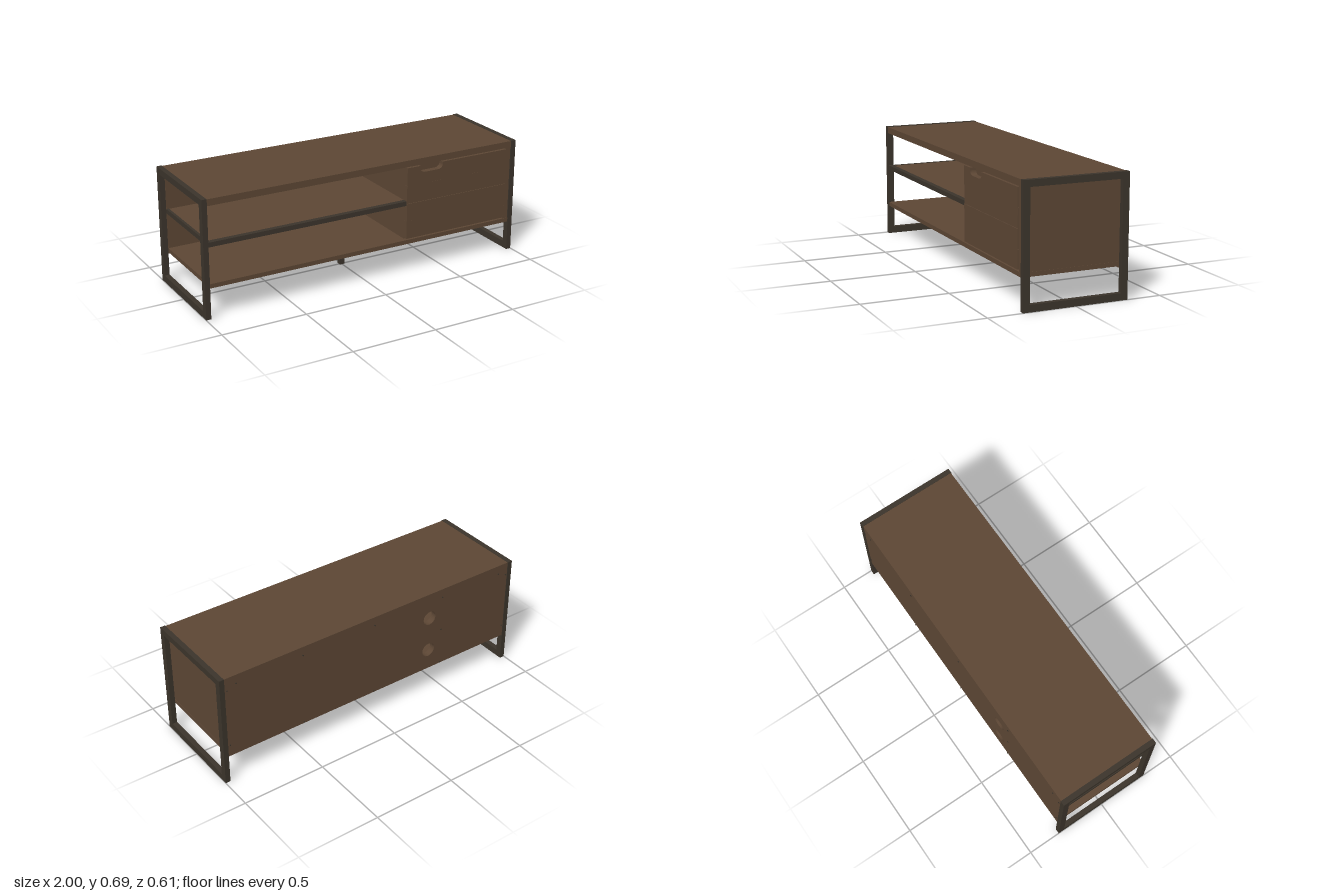
import * as THREE from 'three';

export function createModel() {
  const model = new THREE.Group();
  model.name = 'mediaCabinet';
  const wood = new THREE.MeshStandardMaterial({ color: 0x5c4634 });
  wood.name = 'brown wood';
  const metal = new THREE.MeshStandardMaterial({ color: 0x3b342b });
  metal.name = 'dark metal';

  const add = (name, geometry, material) => {
    const mesh = new THREE.Mesh(geometry, material);
    mesh.name = name;
    model.add(mesh);
    return mesh;
  };
  // Box given by its limits on each axis
  const box = (name, material, x0, x1, y0, y1, z0, z1) => {
    const mesh = add(name, new THREE.BoxGeometry(x1 - x0, y1 - y0, z1 - z0), material);
    mesh.position.set((x0 + x1) / 2, (y0 + y1) / 2, (z0 + z1) / 2);
    return mesh;
  };
  const rect = (path, x0, x1, y0, y1) =>
    path.moveTo(x0, y0).lineTo(x1, y0).lineTo(x1, y1).lineTo(x0, y1).closePath();
  const extrude = (shape, depth) =>
    new THREE.ExtrudeGeometry(shape, { depth, bevelEnabled: false, curveSegments: 16 });

  // Rectangular loop frames at both ends
  for (const side of [-1, 1]) {
    const shape = new THREE.Shape();
    rect(shape, -0.303, 0.303, 0, 0.685);
    const hole = new THREE.Path();
    rect(hole, -0.266, 0.266, 0.04, 0.648);
    shape.holes.push(hole);
    const geometry = extrude(shape, 0.03).translate(0, 0, -0.015).rotateY(Math.PI / 2);
    add(side < 0 ? 'rightEndFrame' : 'leftEndFrame', geometry, metal).position.x = side * 0.985;
  }

  // Centre leg
  box('centreLeg', metal, -0.015, 0.015, 0, 0.178, -0.017, 0.011);

  // Carcass boards
  box('topBoard', wood, -0.97, 0.97, 0.645, 0.683, -0.3, 0.3);
  box('bottomBoard', wood, -0.97, 0.97, 0.178, 0.203, -0.264, 0.3);
  box('endPanel', wood, 0.937, 0.968, 0.203, 0.645, -0.264, 0.298);
  box('partition', wood, 0.257, 0.287, 0.203, 0.645, -0.264, 0.27);

  // Back panel with two cable holes
  const back = new THREE.Shape();
  rect(back, -0.97, 0.97, 0.17, 0.645);
  for (const y of [0.3, 0.52]) {
    const hole = new THREE.Path();
    hole.absarc(-0.393, y, 0.043, 0, Math.PI * 2, true);
    back.holes.push(hole);
  }
  add('backPanel', extrude(back, 0.036), wood).position.z = -0.3;

  // Middle shelf held in a dark metal edge
  box('shelfBoard', wood, -0.955, 0.257, 0.417, 0.438, -0.264, 0.27);
  box('shelfFrontBar', metal, -0.97, 0.255, 0.413, 0.44, 0.27, 0.299);
  box('shelfEndBar', metal, -0.97, -0.955, 0.413, 0.44, -0.264, 0.27);

  // Door front in four slats, the top one with a finger notch
  const doorLeft = 0.255, doorRight = 0.933;
  for (let i = 0; i < 3; i++) {
    const y = 0.212 + i * 0.107;
    box('doorSlat', wood, doorLeft, doorRight, y, y + 0.106, 0.27, i === 1 ? 0.305 : 0.303);
  }
  const slat = new THREE.Shape();
  slat.moveTo(doorLeft, 0.533).lineTo(doorRight, 0.533).lineTo(doorRight, 0.64).lineTo(0.49, 0.64);
  slat.lineTo(0.49, 0.625).quadraticCurveTo(0.487, 0.602, 0.46, 0.6);
  slat.lineTo(0.37, 0.6).quadraticCurveTo(0.343, 0.602, 0.34, 0.625);
  slat.lineTo(0.34, 0.64).lineTo(doorLeft, 0.64).closePath();
  add('doorTopSlat', extrude(slat, 0.035), wood).position.z = 0.27;
  box('notchBacking', wood, 0.3, 0.53, 0.58, 0.645, 0.255, 0.268);

  // Small screw heads on the back
  const screws = [[-0.393, 0.41], [-0.48, 0.41]].slice(1);
  for (const x of [-0.9, -0.48, 0, 0.48, 0.9]) screws.push([x, 0.63]);
  for (const x of [-0.48, 0, 0.48]) screws.push([x, 0.18]);
  for (const x of [-0.957, 0.957]) screws.push([x, 0.605], [x, 0.245]);
  const head = new THREE.CylinderGeometry(0.004, 0.004, 0.005, 10).rotateX(Math.PI / 2);
  for (const [x, y] of screws) add('screwHead', head, metal).position.set(x, y, -0.302);

  return model;
}
